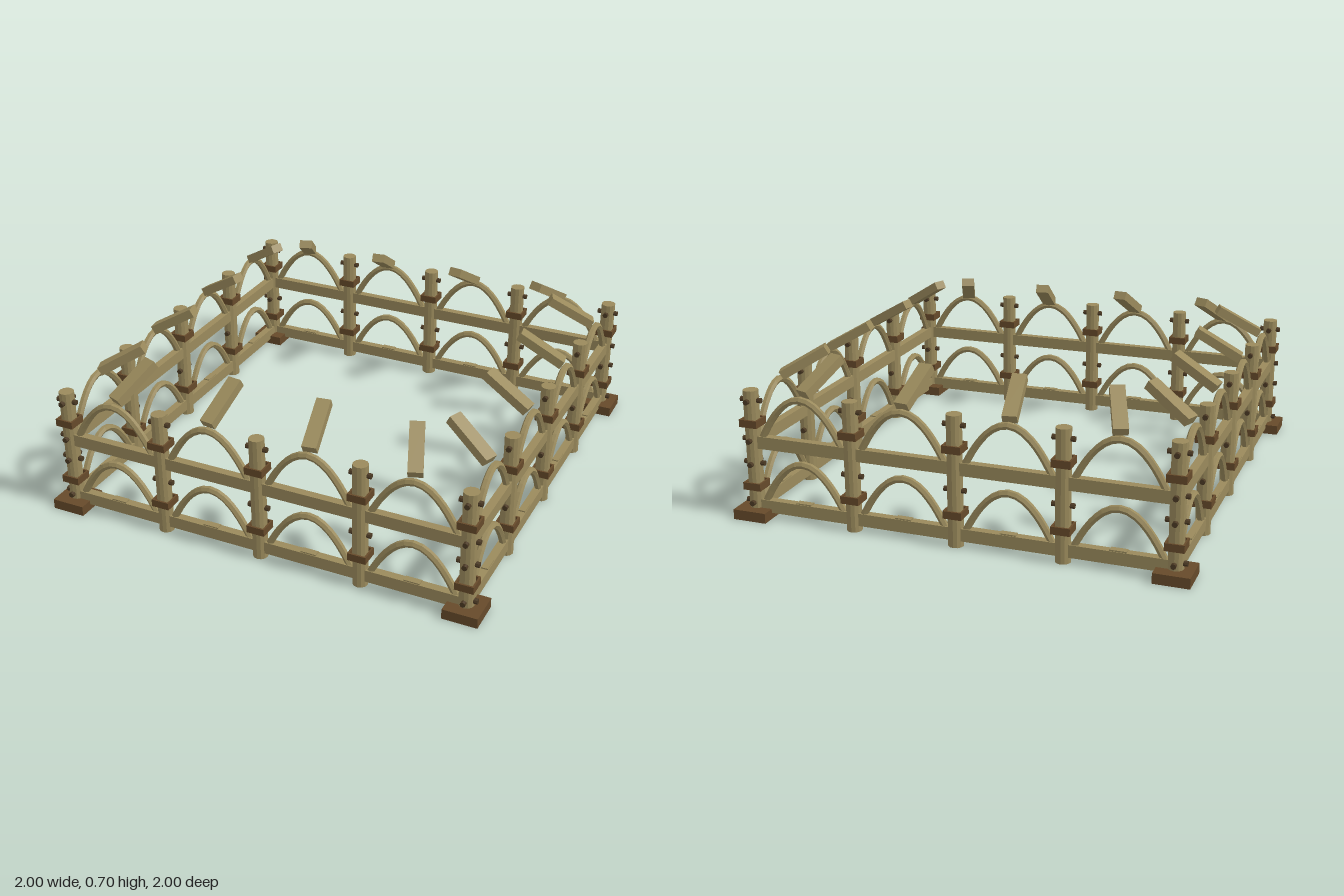
import * as THREE from 'three';

const EDGE = 0.924;               // distance of each wall from the centre
const BAY = EDGE / 2;             // spacing of the posts

export function createModel() {
  const wood = new THREE.MeshStandardMaterial({ name: 'weathered wood', color: 0x9a8a5c, flatShading: true });
  const brown = new THREE.MeshStandardMaterial({ name: 'brown binding', color: 0x664a2a, flatShading: true });
  const dark = new THREE.MeshStandardMaterial({ name: 'dark peg', color: 0x4c3a24, flatShading: true });

  const model = new THREE.Group();
  model.name = 'timberEnclosure';

  const add = (parent, name, geometry, material, x = 0, y = 0, z = 0) => {
    const mesh = new THREE.Mesh(geometry, material);
    mesh.name = name;
    mesh.position.set(x, y, z);
    parent.add(mesh);
    return mesh;
  };
  const box = (w, h, d) => new THREE.BoxGeometry(w, h, d);

  // Shared shapes
  const postGeo = new THREE.CylinderGeometry(0.033, 0.033, 0.57, 12);
  const pegGeo = new THREE.CylinderGeometry(0.012, 0.012, 0.096, 8);
  const railGeo = box(EDGE * 2, 0.055, 0.036);
  const slabGeo = box(0.062, 0.04, 0.23);
  const bandLong = box(0.082, 0.033, 0.008);
  const bandShort = box(0.008, 0.033, 0.066);

  // Parabolic bent-wood arch
  const points = [];
  for (let i = -6; i <= 6; i++) {
    const t = i / 6;
    points.push(new THREE.Vector3(t * 0.19, 0.195 * (1 - t * t), 0));
  }
  const archGeo = new THREE.TubeGeometry(new THREE.CatmullRomCurve3(points), 16, 0.016, 6);

  // Upright with square bindings and cross pegs
  function makePost(corner) {
    const post = new THREE.Group();
    post.name = corner ? 'cornerPost' : 'post';
    add(post, 'upright', postGeo, wood, 0, 0.285, 0);
    for (const y of [0.145, 0.428]) {
      for (const s of [-1, 1]) {
        add(post, 'binding', bandLong, brown, 0, y, s * 0.037);
        add(post, 'binding', bandShort, brown, s * 0.037, y, 0);
      }
    }
    for (const y of [0.07, 0.245, 0.35, 0.525]) {
      add(post, 'peg', pegGeo, dark, 0, y, 0).rotation.z = Math.PI / 2;
      if (corner) add(post, 'peg', pegGeo, dark, 0, y, 0).rotation.x = Math.PI / 2;
    }
    if (corner) add(post, 'footing', box(0.152, 0.045, 0.152), brown, 0, 0.0225, 0);
    return post;
  }

  // One wall, facing +z, owning the corner post at its left end
  function makeWall() {
    const wall = new THREE.Group();
    wall.name = 'wall';
    for (let i = -1; i <= 2; i++) {
      const post = makePost(i === 2);
      post.position.set(i * BAY, 0, EDGE);
      wall.add(post);
    }
    add(wall, 'lowerRail', railGeo, wood, 0, 0.055, EDGE);
    add(wall, 'upperRail', railGeo, wood, 0, 0.342, EDGE);

    for (const side of [-1, 1]) {
      for (const [centre, slabX, yaw] of [[0.231, 0.219, 0.145], [0.693, 0.65, 0.37]]) {
        add(wall, 'lowerArch', archGeo, wood, side * centre, 0.065, EDGE);
        add(wall, 'upperArch', archGeo, wood, side * centre, 0.352, EDGE);
        add(wall, 'railPad', box(0.07, 0.008, 0.03), wood, side * centre, 0.084, EDGE);
        // Roof slab rising inward from the top of the arch
        const slab = add(wall, 'roofSlab', slabGeo, wood, side * slabX, 0.6265, 0.815);
        slab.rotation.order = 'YXZ';
        slab.rotation.set(Math.PI / 6, side * yaw, 0);
      }
    }
    return wall;
  }

  for (let i = 0; i < 4; i++) {
    const wall = makeWall();
    wall.rotation.y = i * Math.PI / 2;
    model.add(wall);
  }
  return model;
}
